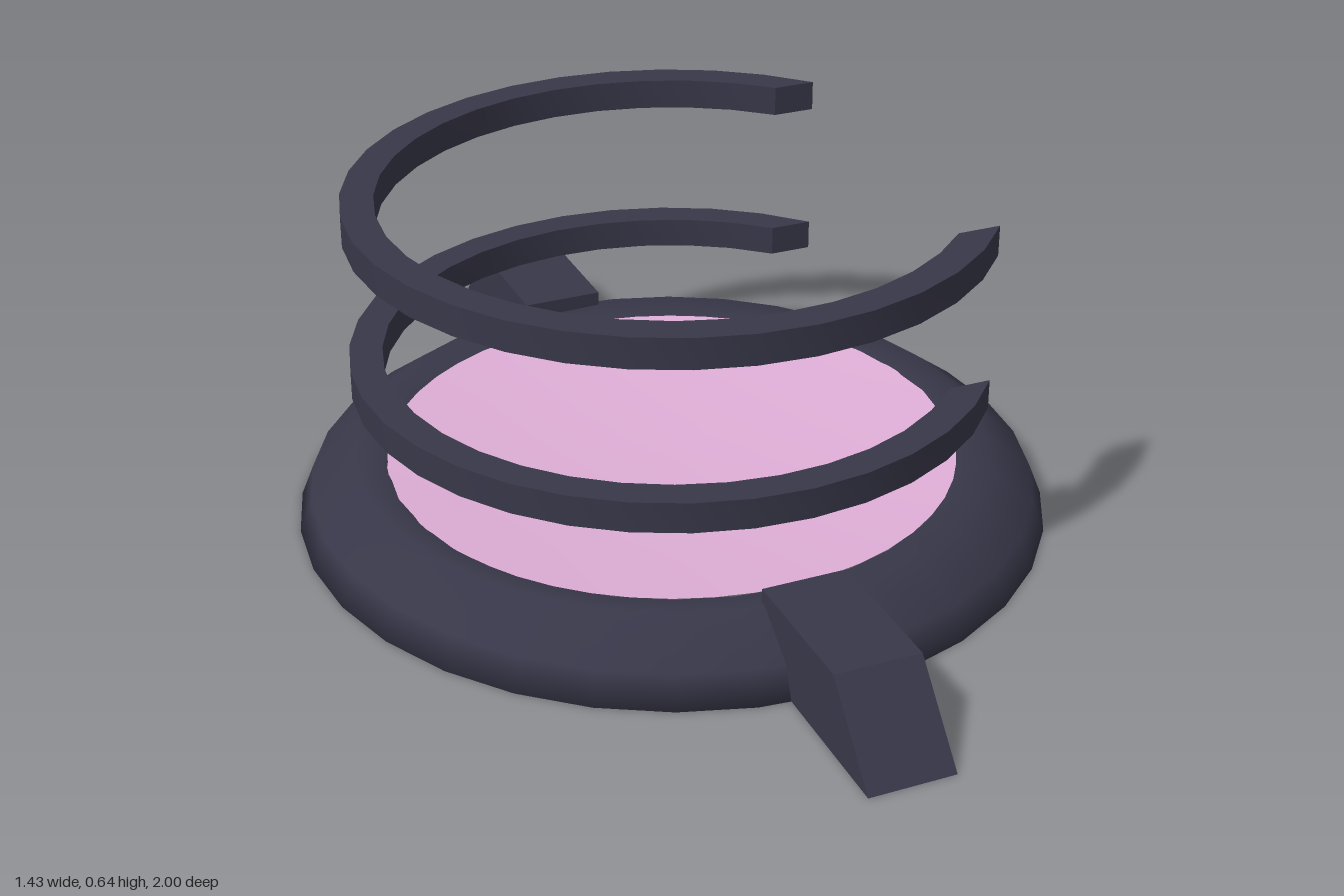
import * as THREE from 'three';
import { toCreasedNormals } from 'three/addons/utils/BufferGeometryUtils.js';

export function createModel() {
  const model = new THREE.Group();
  const dark = new THREE.MeshStandardMaterial({ color: 0x383749 });
  dark.name = 'dark slate';
  const pink = new THREE.MeshStandardMaterial({ color: 0xdfaed7 });
  pink.name = 'pink';

  const add = (name, geometry, material) => {
    const mesh = new THREE.Mesh(geometry, material);
    mesh.name = name;
    model.add(mesh);
    return mesh;
  };
  const points = list => list.map(p => new THREE.Vector2(...p));

  // Rounded base rim with a flat underside
  const rim = points([[0.66, 0], [0.714, 0], [0.69, 0.06], [0.602, 0.125], [0.54, 0.11]]);
  add('baseRim', new THREE.LatheGeometry(rim, 32).scale(1, 1, 1.012), dark);
  add('baseBottom', new THREE.CircleGeometry(0.67, 32).rotateX(Math.PI / 2), dark);

  // Shallow dished pad filling the rim
  const dish = points([0.545, 0.4, 0.27, 0.13, 0].map(r => [r, 0.08 + 0.105 * r * r]));
  add('padSurface', new THREE.LatheGeometry(dish, 48), pink);

  // Front and back feet: sloped blocks
  const profile = new THREE.Shape(points([[0.59, 0], [1, 0], [0.865, 0.151], [0.59, 0.151]]));
  for (const [name, turn] of [['frontFoot', -Math.PI / 2], ['backFoot', Math.PI / 2]]) {
    const g = new THREE.ExtrudeGeometry(profile, { depth: 0.162, bevelEnabled: false });
    add(name, g.translate(0, 0, -0.081).rotateY(turn), dark);
  }

  // Two floating open rings, with ends cut straight across
  const arc = (radius, steps) => {
    const start = Math.asin(0.378 / radius);
    return Array.from({ length: steps + 1 }, (_, i) => {
      const a = start + (i / steps) * 2 * (Math.PI - start);
      return new THREE.Vector2(radius * Math.cos(a), radius * Math.sin(a));
    });
  };
  const ringShape = new THREE.Shape([...arc(0.602, 28), ...arc(0.54, 28).reverse()]);
  const ringGeometry = toCreasedNormals(
    new THREE.ExtrudeGeometry(ringShape, { depth: 0.058, bevelEnabled: false }).rotateX(-Math.PI / 2),
    Math.PI / 6
  );
  add('lowerRing', ringGeometry, dark).position.y = 0.278;
  add('upperRing', ringGeometry, dark).position.y = 0.586;

  return model;
}
